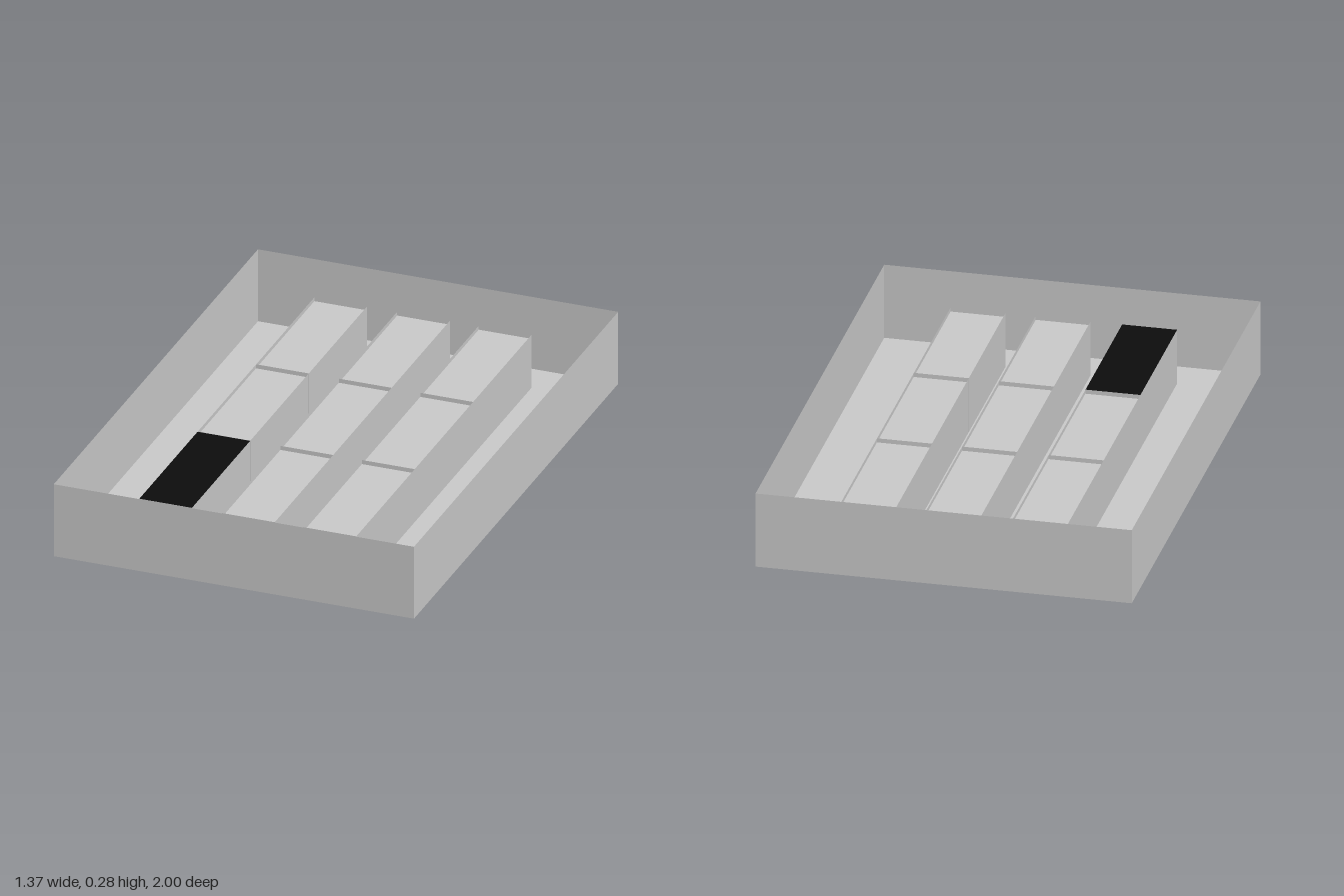
import * as THREE from 'three';

const W = 1.37, D = 2, H = 0.285;       // tray
const BW = 0.2, BD = 0.57, BH = 0.21;   // crates
const LID = 0.195;                      // recessed lid height

export function createModel() {
  const model = new THREE.Group();
  const grey = new THREE.MeshStandardMaterial({ color: 0xcccccc, side: THREE.DoubleSide });
  const black = new THREE.MeshStandardMaterial({ color: 0x0d0d0d, side: THREE.DoubleSide });

  const panel = (parent, name, w, h, pos, rot, material = grey) => {
    const mesh = new THREE.Mesh(new THREE.PlaneGeometry(w, h), material);
    mesh.name = name;
    mesh.position.set(...pos);
    mesh.rotation.set(...rot);
    parent.add(mesh);
  };

  // Four thin upright walls around a rectangle
  const walls = (parent, name, w, h, d) => {
    for (const s of [-1, 1]) {
      panel(parent, name + 'End', w, h, [0, h / 2, s * d / 2], [0, s > 0 ? 0 : Math.PI, 0]);
      panel(parent, name + 'Side', d, h, [s * w / 2, h / 2, 0], [0, s * Math.PI / 2, 0]);
    }
  };

  // Open tray
  const tray = new THREE.Group();
  tray.name = 'tray';
  panel(tray, 'trayFloor', W, D, [0, 0, 0], [Math.PI / 2, 0, 0]);
  walls(tray, 'trayWall', W, H, D);
  model.add(tray);

  // Three columns of three crates, the front one on the right has a black top
  [-0.315, 0, 0.31].forEach((x, col) => {
    for (let row = 0; row < 3; row++) {
      const crate = new THREE.Group();
      crate.name = 'crate';
      crate.position.set(x, 0, (row - 1) * 0.572);
      walls(crate, 'crateWall', BW, BH, BD);
      const dark = col === 0 && row === 2;
      panel(crate, dark ? 'blackLid' : 'lid', BW, BD, [0, dark ? BH : LID, 0],
        [-Math.PI / 2, 0, 0], dark ? black : grey);
      model.add(crate);
    }
  });
  return model;
}
